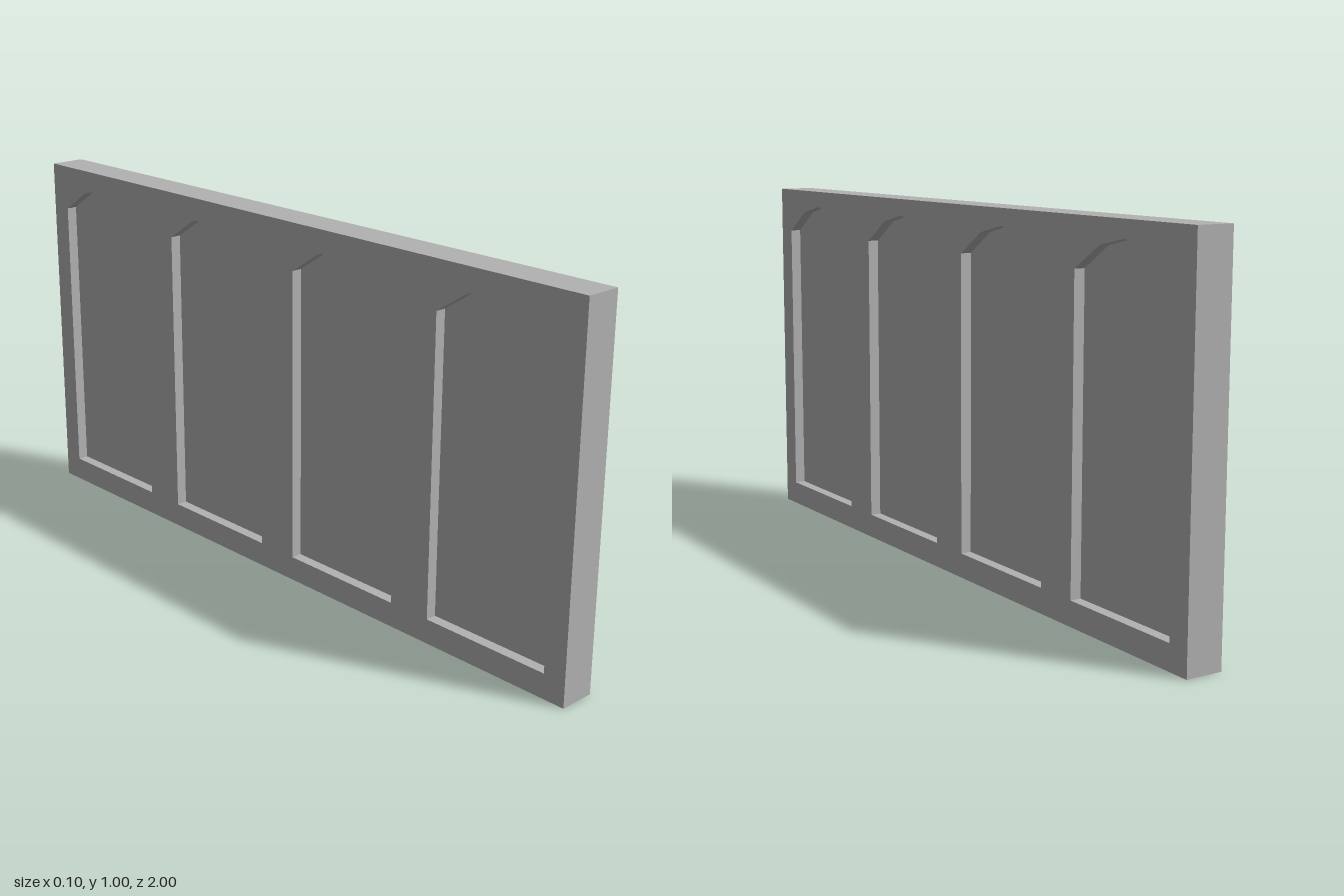
import * as THREE from 'three';

const THICKNESS = 0.1;
const RECESS = 0.03;
const BAY_CENTRES = [-0.75, -0.25, 0.25, 0.75];

// Outline of one bay: straight sides under a low faceted arch
function archPoints(centre) {
  const half = 0.1875;
  return [
    [-half, 0.067], [half, 0.067], [half, 0.873], [half / 2, 0.934],
    [0, 0.955], [-half / 2, 0.934], [-half, 0.873],
  ].map(([x, y]) => new THREE.Vector2(centre + x, y));
}

export function createModel() {
  const group = new THREE.Group();
  group.name = 'arcadedWall';
  const stone = new THREE.MeshStandardMaterial({ color: 0xb2b2b2 });
  stone.name = 'grey stone';

  // Wall slab with four arched openings
  const outline = new THREE.Shape([
    new THREE.Vector2(-1, 0), new THREE.Vector2(1, 0),
    new THREE.Vector2(1, 1), new THREE.Vector2(-1, 1),
  ]);
  BAY_CENTRES.forEach((c) => outline.holes.push(new THREE.Path(archPoints(c))));
  const slab = new THREE.ExtrudeGeometry(outline, { depth: THICKNESS, bevelEnabled: false });
  slab.translate(0, 0, -THICKNESS / 2).rotateY(Math.PI / 2);
  const wall = new THREE.Mesh(slab, stone);
  wall.name = 'wallFrame';
  group.add(wall);

  // Recessed panels closing each opening, one facing each side
  for (const side of [1, -1]) {
    BAY_CENTRES.forEach((c, i) => {
      const face = new THREE.ShapeGeometry(new THREE.Shape(archPoints(c)));
      face.translate(0, 0, THICKNESS / 2 - RECESS).rotateY((side * Math.PI) / 2);
      const panel = new THREE.Mesh(face, stone);
      panel.name = `${side > 0 ? 'left' : 'right'}ArchPanel${i + 1}`;
      group.add(panel);
    });
  }
  return group;
}
